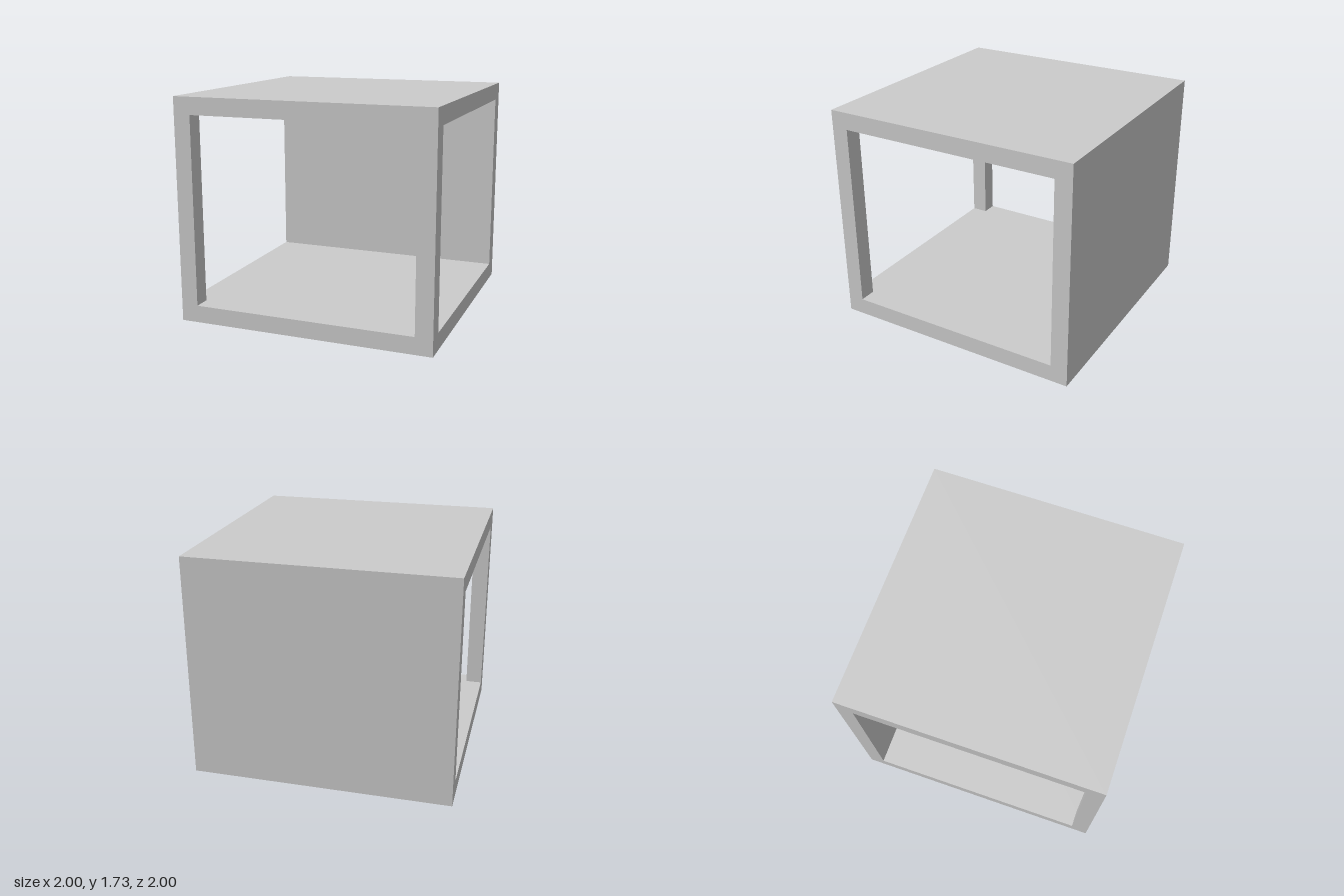
import * as THREE from 'three';

const SIZE = 2, HEIGHT = 1.733, T = 0.133;

export function createModel() {
  const model = new THREE.Group();
  model.name = 'openCubeShelf';
  const material = new THREE.MeshStandardMaterial({ color: 0xcccccc, flatShading: true });

  const addBox = (name, w, h, d, x, y, z) => {
    const mesh = new THREE.Mesh(new THREE.BoxGeometry(w, h, d), material);
    mesh.name = name;
    mesh.position.set(x, y, z);
    model.add(mesh);
  };

  const innerHeight = HEIGHT - 2 * T;
  const edge = SIZE / 2 - T / 2;

  // Full-width slabs at the bottom and top
  addBox('floor', SIZE, T, SIZE, 0, T / 2, 0);
  addBox('roof', SIZE, T, SIZE, 0, HEIGHT - T / 2, 0);

  // Solid back wall between the slabs
  addBox('backWall', SIZE, innerHeight, T, 0, HEIGHT / 2, -edge);

  // Square posts at the two front corners
  for (const [name, side] of [['leftFrontPost', 1], ['rightFrontPost', -1]]) {
    addBox(name, T, innerHeight, T, side * edge, HEIGHT / 2, edge);
  }

  return model;
}
